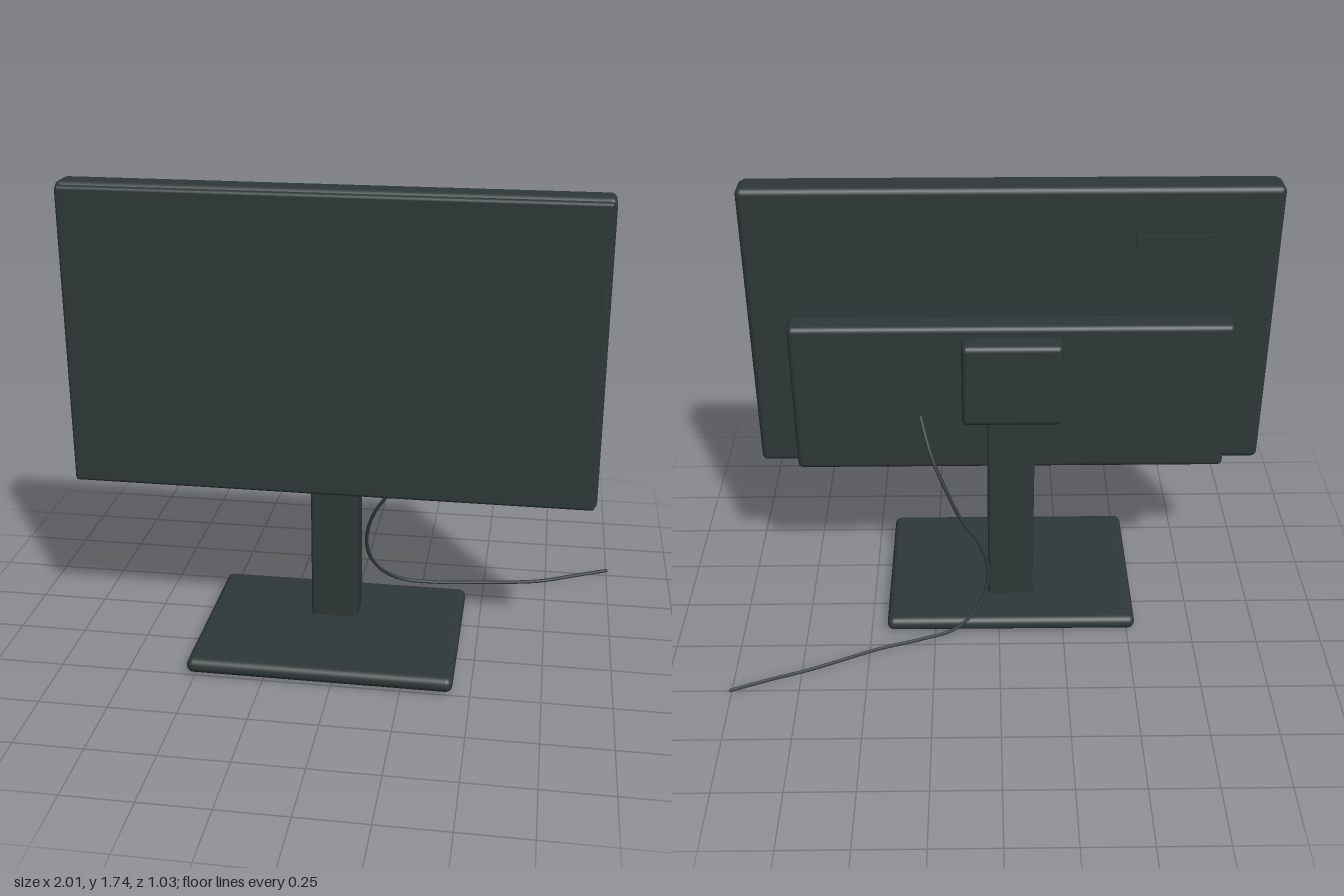
import * as THREE from 'three';
import { RoundedBoxGeometry } from 'three/addons/geometries/RoundedBoxGeometry.js';

export function createModel() {
  const group = new THREE.Group();
  const charcoal = new THREE.MeshStandardMaterial({ color: 0x2f3838 });
  charcoal.name = 'charcoal plastic';

  // Box given by its extents on each axis, with rounded edges when r > 0
  const block = (name, [x0, x1], [y0, y1], [z0, z1], r) => {
    const size = [x1 - x0, y1 - y0, z1 - z0];
    const geometry = r
      ? new RoundedBoxGeometry(...size, 3, r)
      : new THREE.BoxGeometry(...size);
    const mesh = new THREE.Mesh(geometry, charcoal);
    mesh.name = name;
    mesh.position.set((x0 + x1) / 2, (y0 + y1) / 2, (z0 + z1) / 2);
    group.add(mesh);
  };

  // Display
  block('displayCase', [-1, 0.91], [0.625, 1.74], [0.108, 0.22], 0.022);
  block('frontBezel', [-0.99, 0.9], [0.635, 1.73], [0.215, 0.249], 0.012);
  block('screen', [-0.95, 0.86], [0.71, 1.69], [0.245, 0.253], 0);

  // Rear housing, stand mount and label plate
  block('rearHousing', [-0.85, 0.76], [0.65, 1.25], [0.013, 0.118], 0.02);
  block('standMount', [-0.23, 0.135], [0.885, 1.212], [-0.068, 0.02], 0.02);
  block('labelPlate', [-0.81, -0.485], [1.508, 1.565], [0.099, 0.108], 0);

  // Stand
  block('neck', [-0.135, 0.042], [0.05, 0.95], [-0.02, 0.112], 0.012);
  block('base', [-0.53, 0.437], [0.012, 0.068], [-0.187, 0.513], 0.026);

  // Cable falling behind the stand and trailing away
  const path = new THREE.CatmullRomCurve3([
    [0.29, 0.88, 0.015], [0.25, 0.75, -0.06], [0.2, 0.63, -0.1],
    [0.145, 0.51, -0.122], [0.07, 0.39, -0.132], [0.042, 0.28, -0.145],
    [0.055, 0.19, -0.165], [0.105, 0.11, -0.2], [0.18, 0.062, -0.235],
    [0.3, 0.042, -0.264], [0.46, 0.031, -0.305], [0.72, 0.009, -0.395],
    [0.86, 0.014, -0.452], [1, 0.018, -0.513],
  ].map((p) => new THREE.Vector3(...p)));
  const cable = new THREE.Mesh(new THREE.TubeGeometry(path, 80, 0.007, 8), charcoal);
  cable.name = 'cable';
  group.add(cable);

  // Caps on both cable ends
  for (const t of [0, 1]) {
    const cap = new THREE.Mesh(new THREE.SphereGeometry(0.007, 8, 6), charcoal);
    cap.name = 'cableEnd';
    cap.position.copy(path.getPoint(t));
    group.add(cap);
  }
  return group;
}
